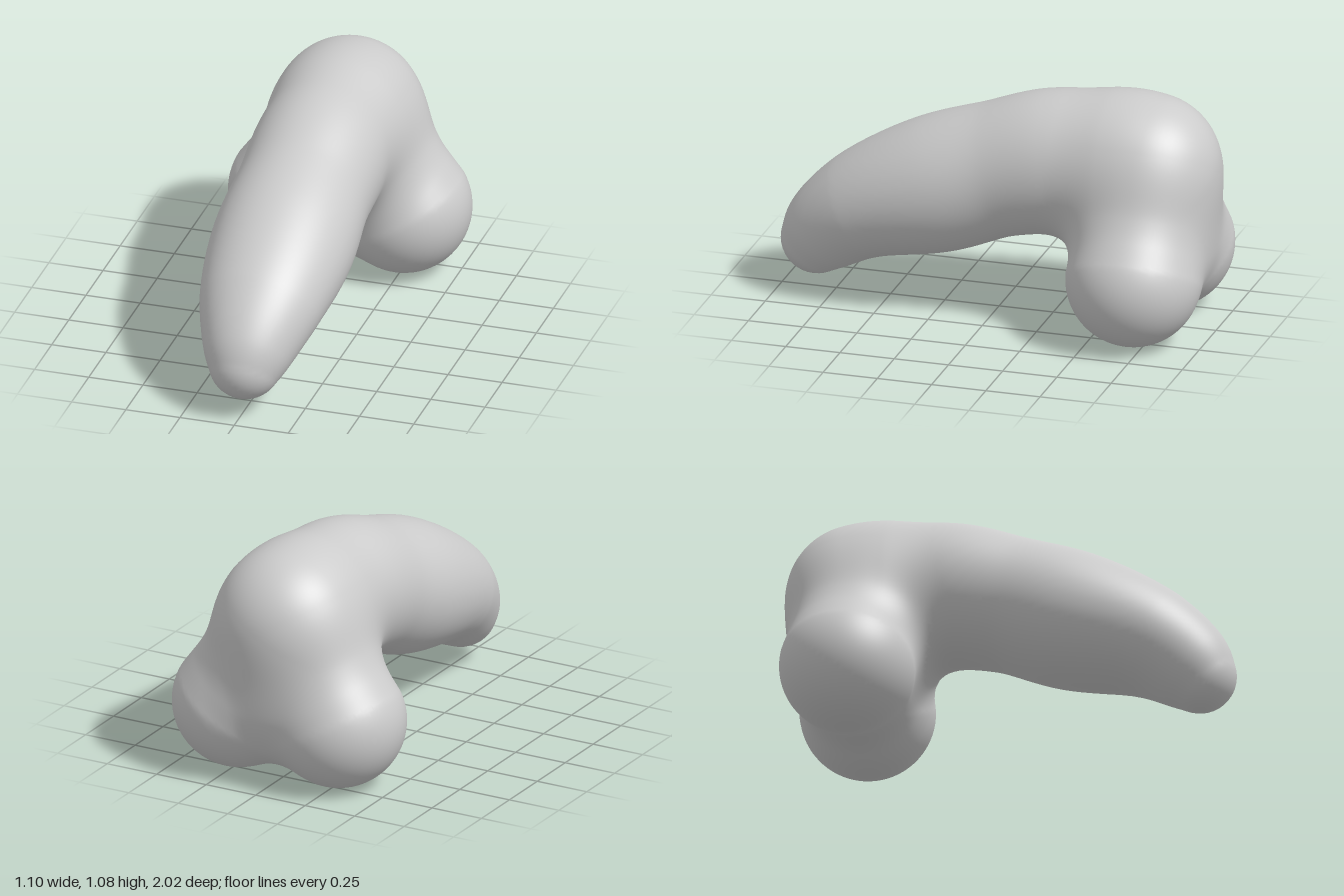
import * as THREE from 'three';

// Smooth minimum, blends two distance fields with a fillet of size k
const blend = (a, b, k) => {
  const h = Math.max(k - Math.abs(a - b), 0) / k;
  return Math.min(a, b) - h * h * k / 4;
};
const length = (x, y, z) => Math.sqrt(x * x + y * y + z * z);

// Curved arm: z, y, radius, width factor from the tip to the rear shoulder
const ARM = [
  [0.836, 0.232, 0.163, 1.0], [0.775, 0.3, 0.2, 1.03], [0.6, 0.425, 0.246, 1.12], [0.25, 0.56, 0.308, 1.03],
  [0, 0.65, 0.304, 0.99], [-0.28, 0.722, 0.322, 0.95], [-0.5, 0.74, 0.316, 0.95], [-0.685, 0.735, 0.284, 1.0],
];
const spine = new THREE.CatmullRomCurve3(ARM.map(([z, y]) => new THREE.Vector3(0, y, z)));
const sizes = new THREE.CatmullRomCurve3(ARM.map(([, , r, w]) => new THREE.Vector3(r, w, 0)));
const BEADS = Array.from({ length: 121 }, (_, i) => {
  const p = spine.getPoint(i / 120), s = sizes.getPoint(i / 120);
  return [p.z, p.y, s.x, s.y];
});

function armField(x, y, z) {
  let d = Infinity;
  for (const [bz, by, r, w] of BEADS) d = Math.min(d, length(x / w, y - by, z - bz) - r);
  return d;
}

// Tapered capsule from the rear shoulder down to one foot lobe
function lobeField(x, y, z, side) {
  const ax = 0.25 * side, ay = -0.44, az = -0.015;
  const py = y - 0.74, pz = z + 0.682;
  const t = THREE.MathUtils.clamp((x * ax + py * ay + pz * az) / (ax * ax + ay * ay + az * az), 0, 1);
  return length(x - t * ax, py - t * ay, pz - t * az) - (0.24 + 0.06 * t);
}

function field(x, y, z) {
  const lobes = blend(lobeField(x, y, z, 1), lobeField(x, y, z, -1), 0.15);
  const fill = length(x, y - 0.38, z + 0.7) - 0.25;
  return blend(armField(x, y, z), blend(lobes, fill, 0.15), 0.2);
}

function gradient(x, y, z) {
  const e = 0.015;
  return new THREE.Vector3(
    field(x + e, y, z) - field(x - e, y, z),
    field(x, y + e, z) - field(x, y - e, z),
    field(x, y, z + e) - field(x, y, z - e)).divideScalar(2 * e);
}

// Wrap the zero level of the field in a grid of quads
function skinGeometry(step) {
  const min = [-0.66, -0.08, -1.1];
  const n = [1.32, 1.26, 2.2].map((s) => Math.ceil(s / step) + 1);
  const stride = [1, n[0], n[0] * n[1]];
  const values = new Float32Array(n[0] * n[1] * n[2]);
  const at = (i, j, k) => i + j * stride[1] + k * stride[2];
  for (let k = 0; k < n[2]; k++) for (let j = 0; j < n[1]; j++) for (let i = 0; i < n[0]; i++)
    values[at(i, j, k)] = field(min[0] + i * step, min[1] + j * step, min[2] + k * step);

  // One vertex per cell crossed by the surface, pulled onto it
  const cell = new Int32Array(values.length).fill(-1);
  const positions = [], normals = [], index = [];
  const p = new THREE.Vector3();
  for (let k = 0; k < n[2] - 1; k++) for (let j = 0; j < n[1] - 1; j++) for (let i = 0; i < n[0] - 1; i++) {
    let inside = 0;
    for (let c = 0; c < 8; c++) if (values[at(i + (c & 1), j + ((c >> 1) & 1), k + (c >> 2))] < 0) inside++;
    if (inside === 0 || inside === 8) continue;
    p.set(min[0] + (i + 0.5) * step, min[1] + (j + 0.5) * step, min[2] + (k + 0.5) * step);
    for (let s = 0; s < 3; s++) {
      const g = gradient(p.x, p.y, p.z);
      p.addScaledVector(g, -field(p.x, p.y, p.z) / Math.max(g.lengthSq(), 0.2));
    }
    cell[at(i, j, k)] = positions.length / 3;
    positions.push(p.x, p.y, p.z);
    normals.push(...gradient(p.x, p.y, p.z).normalize().toArray());
  }

  // One quad around every grid edge that crosses the surface
  for (let k = 1; k < n[2] - 1; k++) for (let j = 1; j < n[1] - 1; j++) for (let i = 1; i < n[0] - 1; i++) {
    const o = at(i, j, k);
    for (let axis = 0; axis < 3; axis++) {
      const startsInside = values[o] < 0;
      if (startsInside === (values[o + stride[axis]] < 0)) continue;
      const u = stride[(axis + 1) % 3], v = stride[(axis + 2) % 3];
      const [a, b, c, d] = [cell[o - u - v], cell[o - v], cell[o], cell[o - u]];
      if (startsInside) index.push(a, b, c, a, c, d);
      else index.push(a, c, b, a, d, c);
    }
  }
  const geometry = new THREE.BufferGeometry();
  geometry.setAttribute('position', new THREE.Float32BufferAttribute(positions, 3));
  geometry.setAttribute('normal', new THREE.Float32BufferAttribute(normals, 3));
  geometry.setIndex(index);
  return geometry;
}

export function createModel() {
  const group = new THREE.Group();
  group.name = 'curvedForm';
  // Arm, shoulder and foot lobes share one smooth skin
  const body = new THREE.Mesh(skinGeometry(0.025), new THREE.MeshStandardMaterial({ color: 0xcccccc }));
  body.name = 'body';
  group.add(body);
  return group;
}
